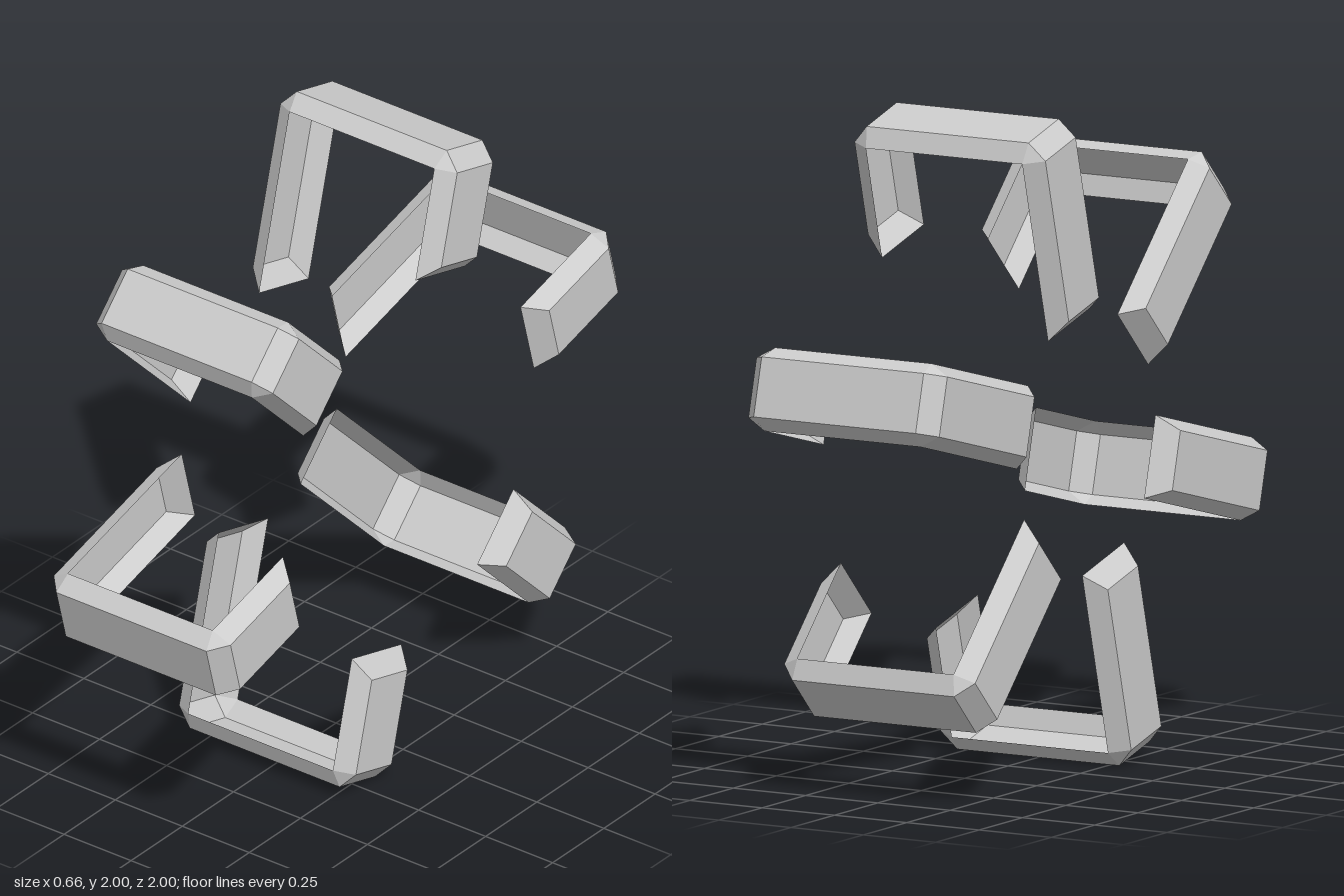
import * as THREE from 'three';

// Half widths of the trough: open rim and narrower outer floor
const RIM = 0.125, FLOOR = 0.09;

// Matching [x, radius] paths: short arm on +x, long arm on -x, chamfered outer corners
const rimPath = [[-0.27, 0.38], [-0.27, 0.955], [-0.27, 0.955], [0.27, 0.955], [0.27, 0.955], [0.27, 0.6]];
const floorPath = [[-0.33, 0.435], [-0.33, 0.955], [-0.28, 1.01], [0.28, 1.01], [0.33, 0.955], [0.33, 0.655]];

// Hollow bracket: trapezoid sections swept along a U, open towards the inside
function bracketGeometry() {
  const positions = [];
  const rows = rimPath.map(([rx, ry], i) => {
    const [fx, fy] = floorPath[i];
    return [[rx, ry, RIM], [fx, fy, FLOOR], [fx, fy, -FLOOR], [rx, ry, -RIM]];
  });
  const same = (p, q) => p.every((v, k) => v === q[k]);
  const tri = (a, b, c) => {
    if (!same(a, b) && !same(b, c) && !same(a, c)) positions.push(...a, ...b, ...c);
  };
  const quad = (a, b, c, d) => { tri(a, b, c); tri(a, c, d); };

  for (let i = 0; i < rows.length - 1; i++) {
    for (let j = 0; j < 3; j++) {
      quad(rows[i][j], rows[i + 1][j], rows[i + 1][j + 1], rows[i][j + 1]);
    }
  }
  // Slanted end walls
  quad(...rows[0]);
  quad(...[...rows[rows.length - 1]].reverse());

  const geometry = new THREE.BufferGeometry();
  geometry.setAttribute('position', new THREE.Float32BufferAttribute(positions, 3));
  geometry.computeVertexNormals();
  return geometry;
}

export function createModel() {
  const group = new THREE.Group();
  group.name = 'bracketRing';
  const material = new THREE.MeshStandardMaterial({
    color: 0xcccccc, flatShading: true, side: THREE.DoubleSide,
  });
  const geometry = bracketGeometry();

  // Six brackets spaced around the x axis
  for (let k = 0; k < 6; k++) {
    const bracket = new THREE.Mesh(geometry, material);
    bracket.name = `bracket${k + 1}`;
    bracket.position.y = 1;
    bracket.rotation.x = THREE.MathUtils.degToRad(-15 - 60 * k);
    group.add(bracket);
  }
  return group;
}
